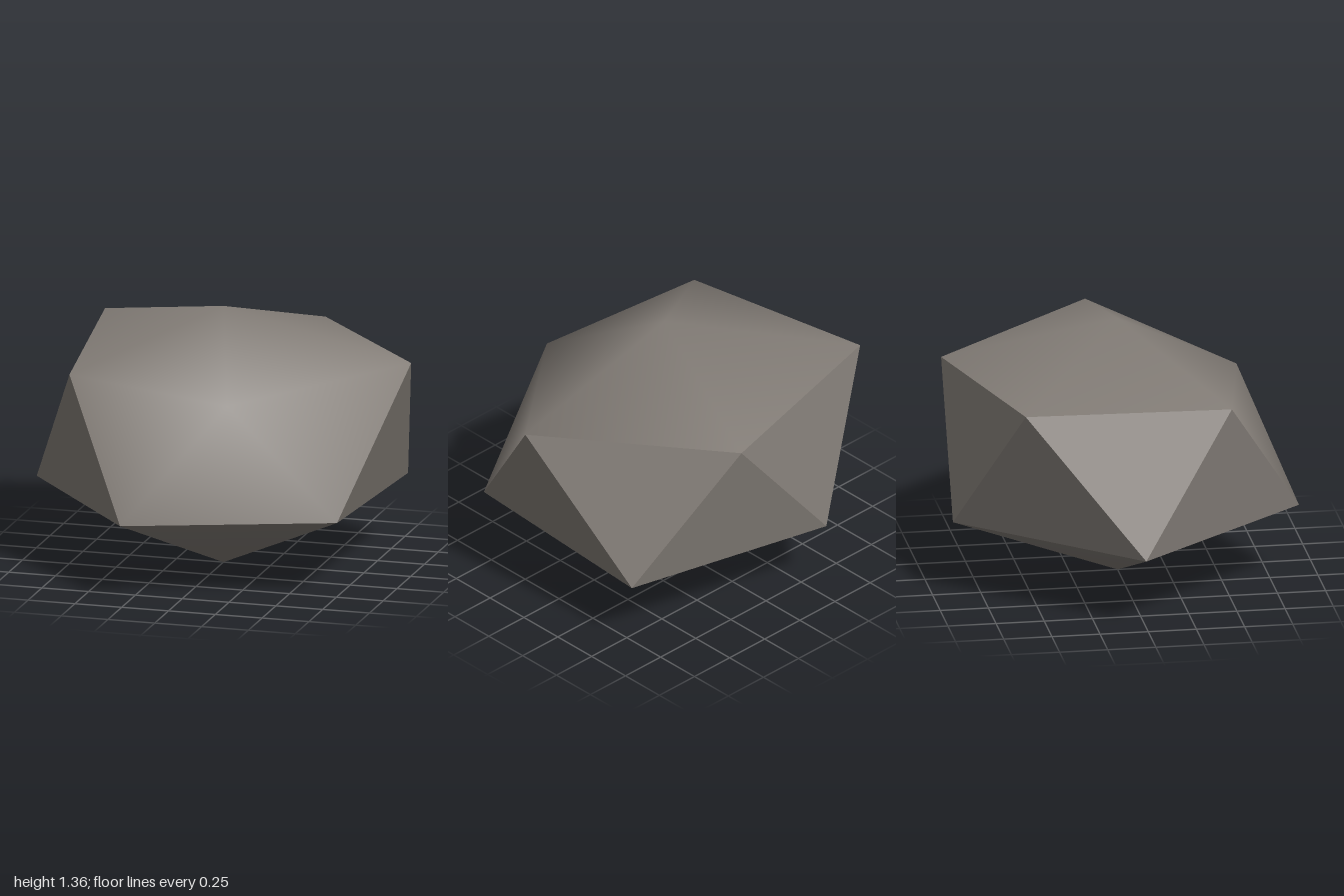
import * as THREE from 'three';

// Corner rings, counterclockwise seen from above, each upper corner between two lower ones
const apex = [0, 1.36, 0];
const base = [0, 0, 0];
const lower = [[-1, 0.38, -0.01], [-0.29, 0.4, 0.895], [0.765, 0.405, 0.54], [0.81, 0.38, -0.6], [-0.285, 0.4, -0.9]];
const upper = [[-0.68, 1.07, 0.485], [0.21, 1.01, 0.65], [1, 1.13, -0.01], [0.29, 1.1, -0.87], [-0.81, 1.13, -0.605]];

// Shared corners give smooth normals; separate corners give flat facets
function facets(triangles, smooth) {
  const corners = [];
  const index = [];
  for (const p of triangles.flat()) {
    let i = smooth ? corners.indexOf(p) : -1;
    if (i < 0) i = corners.push(p) - 1;
    index.push(i);
  }
  const geometry = new THREE.BufferGeometry();
  geometry.setAttribute('position', new THREE.Float32BufferAttribute(corners.flat(), 3));
  geometry.setIndex(index);
  geometry.computeVertexNormals();
  return geometry;
}

export function createModel() {
  const group = new THREE.Group();
  group.name = 'rock';
  const stone = new THREE.MeshStandardMaterial({ name: 'warmGreyStone', color: 0x827c76 });

  const crown = [];
  const walls = [];
  const underside = [];
  for (let i = 0; i < 5; i++) {
    const n = (i + 1) % 5;
    crown.push([apex, upper[i], upper[n]]);
    underside.push([base, lower[n], lower[i]]);
    // The three facets around the low front corner flow smoothly into the crown
    for (const face of [[lower[i], lower[n], upper[i]], [upper[i], lower[n], upper[n]]]) {
      (face.includes(upper[1]) ? crown : walls).push(face);
    }
  }

  const add = (name, triangles, smooth) => {
    const mesh = new THREE.Mesh(facets(triangles, smooth), stone);
    mesh.name = name;
    group.add(mesh);
  };
  add('crownAndFront', crown, true);
  add('sideFacets', walls, false);
  add('underside', underside, true);
  return group;
}
